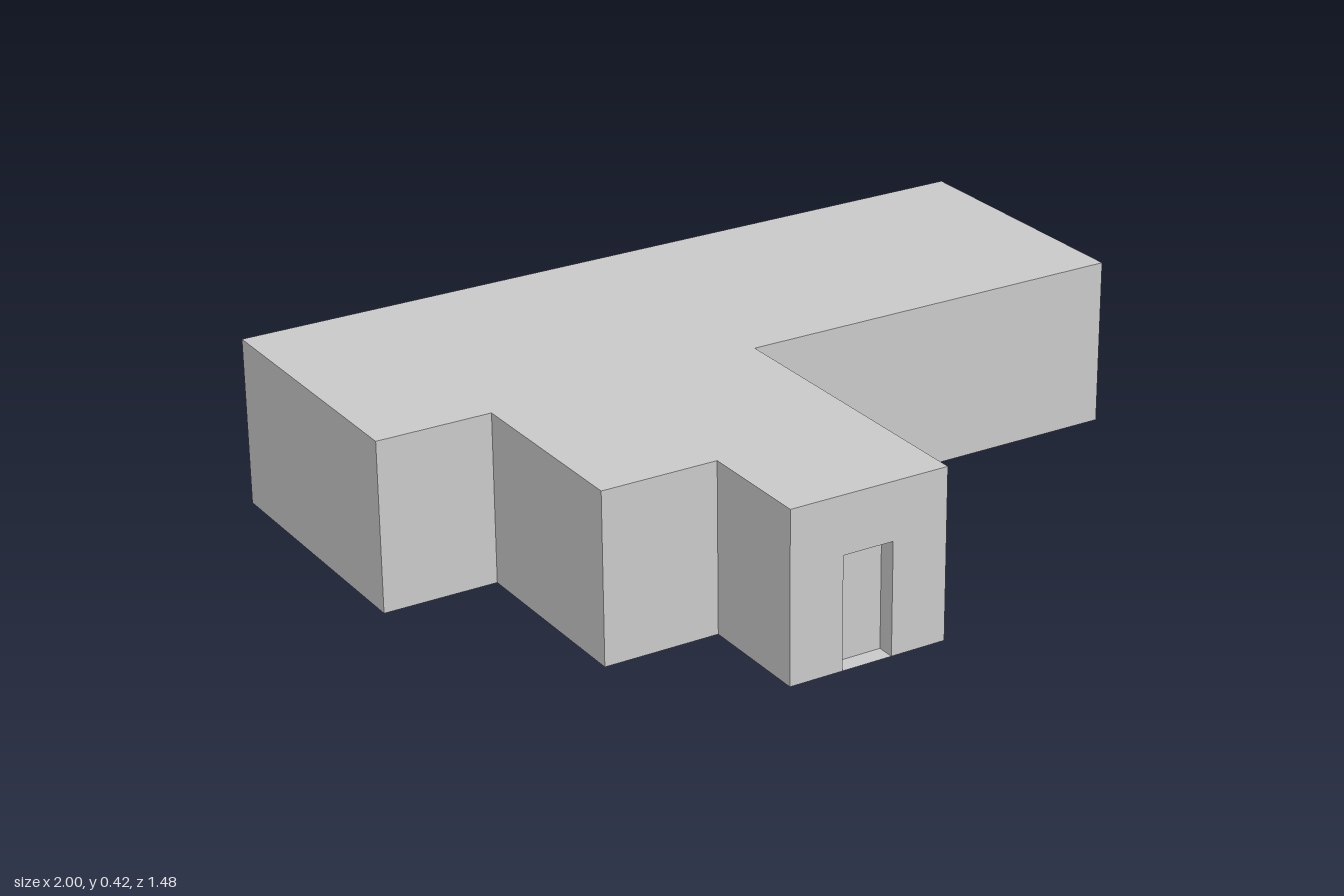
import * as THREE from 'three';

const HEIGHT = 0.424, DOOR_HEIGHT = 0.28, RECESS = 0.045;

// Footprint corners [x, z], anticlockwise seen from above
const FOOTPRINT = [
  [-1, 0.738 * -1], [-1, -0.046], [-0.711, -0.046], [-0.711, 0.444],
  [-0.42, 0.444], [-0.42, 0.738], [-0.014, 0.738], [-0.014, -0.046],
  [1, -0.046], [1, -0.738],
];

// Doorways by wall index: start and end distance along that wall
const DOORS = { 5: [0.136, 0.265], 6: [0.572, 0.698] };

export function createModel() {
  const model = new THREE.Group();
  model.name = 'building';
  const grey = new THREE.MeshStandardMaterial({ color: 0xcccccc, flatShading: true });
  const sheet = grey.clone();
  sheet.side = THREE.DoubleSide;

  function add(parent, name, geometry, material = grey) {
    const mesh = new THREE.Mesh(geometry, material);
    mesh.name = name;
    parent.add(mesh);
    return mesh;
  }

  // Flat roof, and a floor slab that also shows inside the doorways
  const plan = new THREE.Shape(FOOTPRINT.map(([x, z]) => new THREE.Vector2(x, -z)));
  const slab = new THREE.ShapeGeometry(plan).rotateX(-Math.PI / 2);
  add(model, 'roof', slab).position.y = HEIGHT;
  add(model, 'floor', slab, sheet);

  // Recessed doorway: back panel, two jambs and a lintel
  function addDoorway(wall, start, end) {
    const door = new THREE.Group();
    door.name = 'doorway';
    door.position.x = (start + end) / 2;
    wall.add(door);
    const width = end - start;
    add(door, 'doorPanel', new THREE.PlaneGeometry(width, DOOR_HEIGHT))
      .position.set(0, DOOR_HEIGHT / 2, -RECESS);
    for (const side of [-1, 1]) {
      const jamb = add(door, 'doorJamb', new THREE.PlaneGeometry(RECESS, DOOR_HEIGHT));
      jamb.position.set(side * width / 2, DOOR_HEIGHT / 2, -RECESS / 2);
      jamb.rotation.y = -side * Math.PI / 2;
    }
    const lintel = add(door, 'doorLintel', new THREE.PlaneGeometry(width, RECESS));
    lintel.position.set(0, DOOR_HEIGHT, -RECESS / 2);
    lintel.rotation.x = Math.PI / 2;
  }

  // Outer walls, each drawn flat and turned to its edge of the footprint
  FOOTPRINT.forEach(([x, z], i) => {
    const [nextX, nextZ] = FOOTPRINT[(i + 1) % FOOTPRINT.length];
    const length = Math.hypot(nextX - x, nextZ - z);
    const wall = new THREE.Group();
    wall.name = 'wall';
    wall.position.set(x, 0, z);
    wall.rotation.y = Math.atan2(z - nextZ, nextX - x);
    model.add(wall);

    const outline = new THREE.Shape().moveTo(0, 0);
    const door = DOORS[i];
    if (door) {
      const [start, end] = door;
      outline.lineTo(start, 0).lineTo(start, DOOR_HEIGHT).lineTo(end, DOOR_HEIGHT).lineTo(end, 0);
      addDoorway(wall, start, end);
    }
    outline.lineTo(length, 0).lineTo(length, HEIGHT).lineTo(0, HEIGHT).closePath();
    add(wall, 'wallFace', new THREE.ShapeGeometry(outline));
  });

  return model;
}
